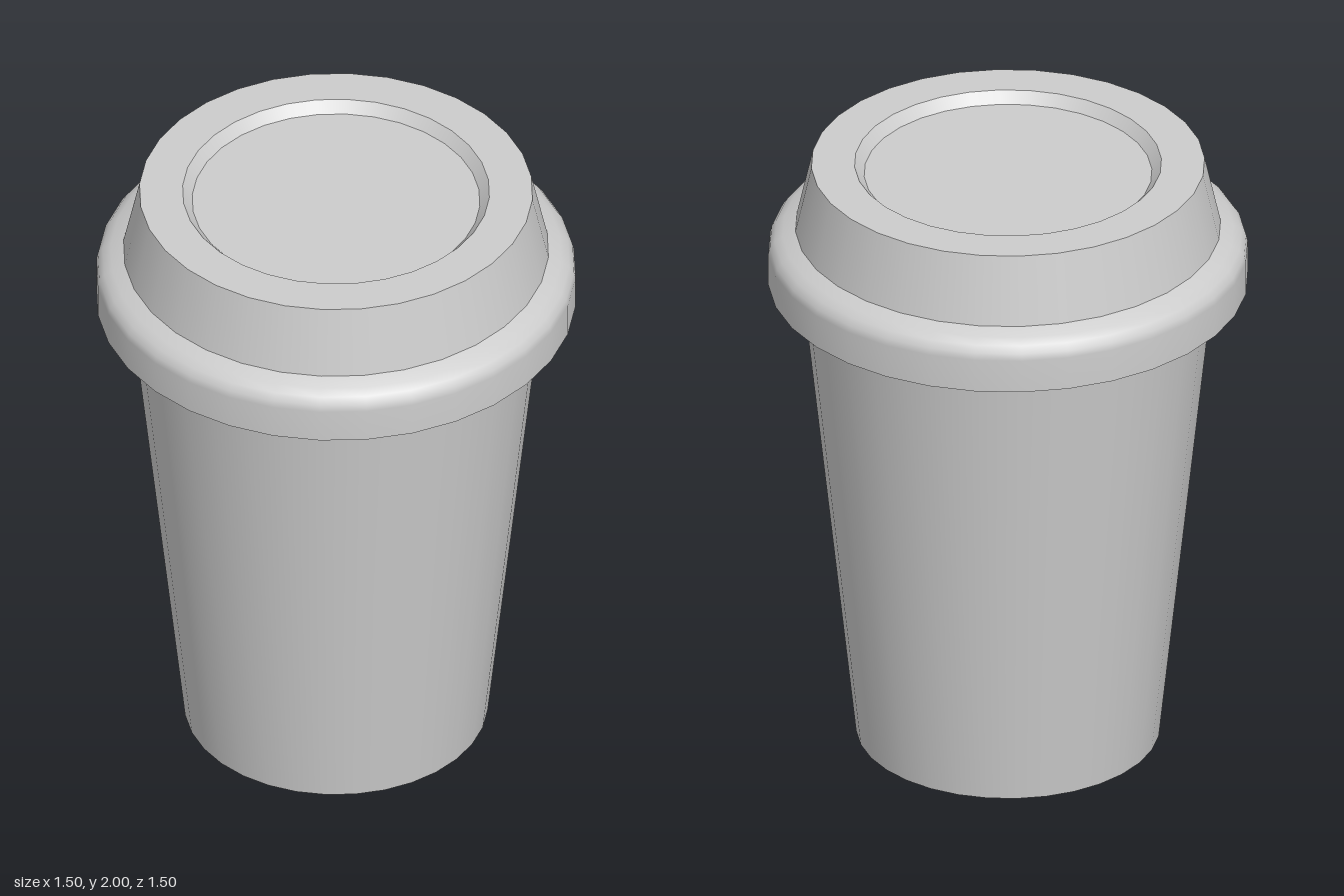
import * as THREE from 'three';

const SIDES = 32;

export function createModel() {
  const model = new THREE.Group();
  model.name = 'takeawayCup';
  const grey = new THREE.MeshStandardMaterial({ color: 0xcccccc });
  grey.name = 'light grey';

  // Revolves each run of [radius, height] points; runs stay smooth, their joins stay sharp.
  function turned(name, runs) {
    const part = new THREE.Group();
    part.name = name;
    for (const [runName, points] of Object.entries(runs)) {
      const profile = points.map(([r, y]) => new THREE.Vector2(r, y));
      const mesh = new THREE.Mesh(new THREE.LatheGeometry(profile, SIDES), grey);
      mesh.name = runName;
      part.add(mesh);
    }
    model.add(part);
  }

  // Tapered cup body with a flat base
  turned('cup', {
    cupBase: [[0, 0], [0.475, 0]],
    cupWall: [[0.475, 0], [0.645, 1.59]],
  });

  // Lid: overhanging rounded skirt, sloped collar, flat rim and shallow recess
  turned('lid', {
    skirtUnderside: [[0.64, 1.59], [0.75, 1.59]],
    skirt: [[0.75, 1.59], [0.75, 1.7], [0.745, 1.722], [0.73, 1.743], [0.705, 1.76], [0.665, 1.777]],
    collar: [[0.665, 1.777], [0.615, 2]],
    rim: [[0.615, 2], [0.48, 2]],
    recessWall: [[0.48, 2], [0.45, 1.965]],
    recessFloor: [[0.45, 1.965], [0, 1.965]],
  });

  return model;
}
